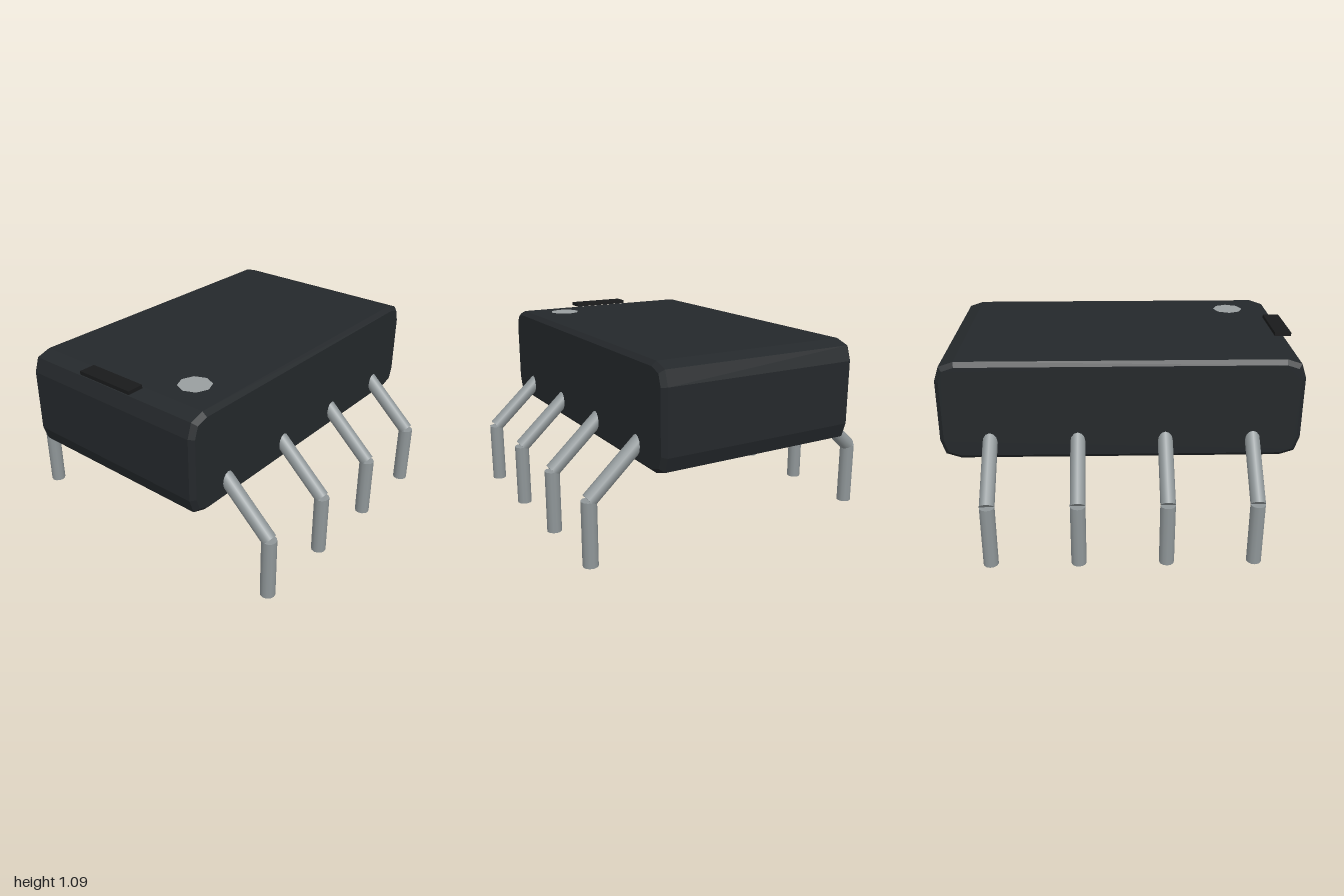
import * as THREE from 'three';

const mat = (color, extra = {}) => new THREE.MeshStandardMaterial({ color, ...extra });

function named(name, geometry, material) {
  const mesh = new THREE.Mesh(geometry, material);
  mesh.name = name;
  return mesh;
}

// Block with faceted corners along z and a narrow bevel at both ends
function bodyGeometry(w, h, d, corner, bevel) {
  const x = w / 2 - bevel, y = h / 2 - bevel, r = corner - bevel / 2;
  const s = new THREE.Shape();
  s.moveTo(x - r, -y);
  s.quadraticCurveTo(x, -y, x, -y + r);
  s.lineTo(x, y - r);
  s.quadraticCurveTo(x, y, x - r, y);
  s.lineTo(-x + r, y);
  s.quadraticCurveTo(-x, y, -x, y - r);
  s.lineTo(-x, -y + r);
  s.quadraticCurveTo(-x, -y, -x + r, -y);
  const depth = d - 2 * bevel;
  return new THREE.ExtrudeGeometry(s, {
    depth, curveSegments: 2, bevelEnabled: true,
    bevelSize: bevel, bevelThickness: bevel, bevelSegments: 1,
  }).translate(0, 0, -depth / 2);
}

// Straight round bar between two points
function bar(name, from, to, radius, material) {
  const dir = to.clone().sub(from);
  const mesh = named(name, new THREE.CylinderGeometry(radius, radius, dir.length(), 12), material);
  mesh.position.copy(from).add(to).multiplyScalar(0.5);
  mesh.quaternion.setFromUnitVectors(new THREE.Vector3(0, 1, 0), dir.normalize());
  return mesh;
}

export function createModel() {
  const model = new THREE.Group();
  model.name = 'circuitChip';
  const black = mat(0x24282b, { flatShading: true });
  const darker = mat(0x191a1b, { flatShading: true });
  const metal = mat(0x8f9698);
  const pale = mat(0x999e9f, { side: THREE.DoubleSide });

  // Chip housing
  const body = named('body', bodyGeometry(2, 0.57, 1.19, 0.1, 0.025), black);
  body.position.y = 0.79;
  model.add(body);

  // Orientation tab at one end of the top
  const tab = named('orientationTab', new THREE.BoxGeometry(0.095, 0.02, 0.36), darker);
  tab.position.set(-0.952, 1.084, 0);
  model.add(tab);

  // First-pin marker
  const dot = named('pinMarker', new THREE.CircleGeometry(0.092, 8).rotateX(-Math.PI / 2), pale);
  dot.position.set(-0.71, 1.079, 0.36);
  model.add(dot);

  // Bent pins, four on each long side
  for (const side of [1, -1]) {
    for (let i = 0; i < 4; i++) {
      const pin = new THREE.Group();
      pin.name = side > 0 ? 'frontPin' : 'backPin';
      pin.position.x = -0.73 + i * 0.484;
      const foot = new THREE.Vector3(0, 0, side * 0.866);
      const knee = new THREE.Vector3(0, 0.36, side * 0.866);
      const root = new THREE.Vector3(0, 0.654, side * 0.545);
      pin.add(bar('pinLeg', foot, knee, 0.042, metal), bar('pinShoulder', knee, root, 0.042, metal));
      model.add(pin);
    }
  }
  return model;
}
